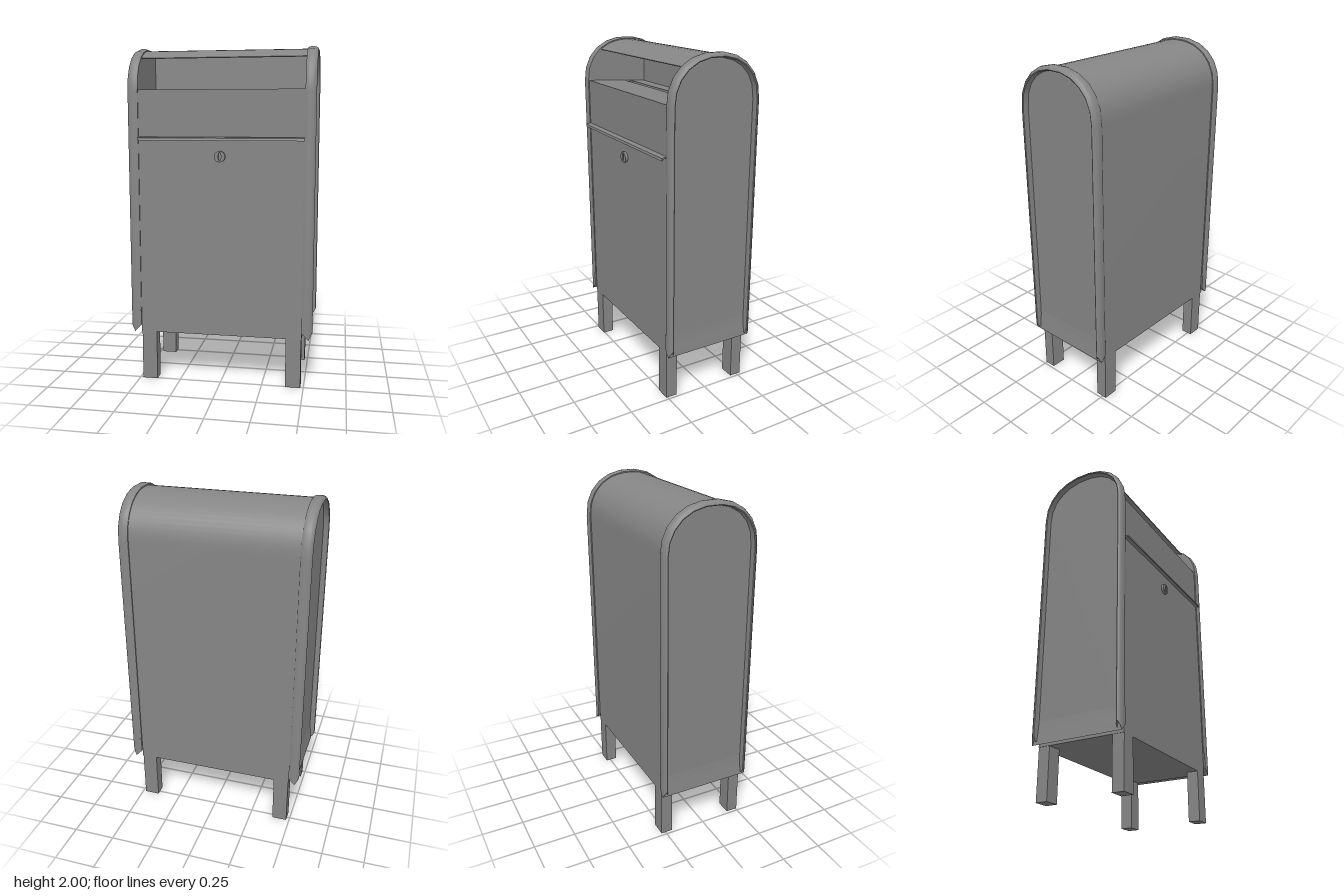
import * as THREE from 'three';
import { toCreasedNormals } from 'three/addons/utils/BufferGeometryUtils.js';

const ZC = -0.01;     // middle of the cabinet in depth
const SPRING = 1.74;  // height where the arched top begins
const BASE = 0.297;   // underside of the cabinet

// Points [z, y] along the arched top, from the front (t = 0) to the back (t = PI)
function arch(half, rise, t0 = 0, t1 = Math.PI, n = 11) {
  const points = [];
  const e = 2 / 2.2;
  for (let i = 0; i <= n; i++) {
    const t = t0 + (t1 - t0) * i / n;
    const c = Math.cos(t), s = Math.max(0, Math.sin(t));
    points.push([ZC + half * Math.sign(c) * Math.abs(c) ** e, SPRING + rise * s ** e]);
  }
  return points;
}

const shapeOf = (points) => new THREE.Shape(points.map(([a, b]) => new THREE.Vector2(a, b)));

// Extrude a [z, y] outline along x, centred on x
function extrudeX(points, width, x = 0) {
  const g = new THREE.ExtrudeGeometry(shapeOf(points), { depth: width, bevelEnabled: false });
  g.translate(0, 0, -width / 2).rotateY(-Math.PI / 2).translate(x, 0, 0);
  return toCreasedNormals(g, 0.5);
}

// Rounded rim swept up the front, over the arch and down the back
function rimGeometry(side) {
  const section = [ // x, inset from the outline
    [0.485, 0.03], [0.485, 0.007], [0.495, 0.002], [0.508, 0], [0.525, 0.001], [0.537, 0.006],
    [0.545, 0.013], [0.548, 0.02], [0.545, 0.025], [0.535, 0.027], [0.514, 0.03],
  ];
  const columns = section.map(([x, inset]) => {
    const bottom = BASE + Math.abs(x - 0.525) * (x > 0.525 ? 2 : 1.05);
    const half = 0.28 - inset;
    return [[ZC + half, bottom], ...arch(half, 0.2625 - inset), [ZC - half, bottom]]
      .map(([z, y]) => [side * x, y, z]);
  });
  const rows = columns[0].length, cols = columns.length;
  const positions = [], index = [];
  const face = (a, b, c) => index.push(...(side > 0 ? [a, b, c] : [a, c, b]));
  for (let i = 0; i < rows; i++) {
    for (let j = 0; j < cols; j++) {
      positions.push(...columns[j][i]);
      if (i === rows - 1 || j === cols - 1) continue;
      const a = i * cols + j, b = a + 1, c = a + cols, d = c + 1;
      face(a, b, d);
      face(a, d, c);
    }
  }
  // Close both lower ends
  const last = (rows - 1) * cols;
  for (let j = 1; j < cols - 1; j++) {
    face(0, j + 1, j);
    face(last, last + j, last + j + 1);
  }
  const g = new THREE.BufferGeometry();
  g.setAttribute('position', new THREE.Float32BufferAttribute(positions, 3));
  g.setIndex(index);
  return toCreasedNormals(g, 0.8);
}

export function createModel() {
  const model = new THREE.Group();
  const material = new THREE.MeshStandardMaterial({ color: 0x858585, side: THREE.DoubleSide });
  const add = (name, geometry, parent = model) => {
    const mesh = new THREE.Mesh(geometry, material);
    mesh.name = name;
    parent.add(mesh);
  };

  // Cabinet with the letter opening, slotted shelf and thin curved roof
  const front = 0.257, back = -0.276;
  const openFront = 0.868, openBack = 2.02;
  add('cabinet', extrudeX([
    [front, BASE], [front, 1.748],
    [0.01, 1.731], [0.01, 1.6], [-0.03, 1.6], [-0.03, 1.728], [-0.13, 1.72],
    ...arch(0.262, 0.242, openBack, openFront, 12),
    ...arch(0.266, 0.248, openFront, Math.PI, 20),
    [back, BASE],
  ], 0.97));

  // Side caps, legs and slot ends, mirrored
  for (const side of [1, -1]) {
    const cap = new THREE.Group();
    cap.name = side > 0 ? 'leftCap' : 'rightCap';
    model.add(cap);
    add('rim', rimGeometry(side), cap);

    // Recessed panel
    add('sidePanel', extrudeX([
      [ZC + 0.251, 0.42], ...arch(0.251, 0.2335), [ZC - 0.251, 0.42],
    ], 0.029, side * 0.4995), cap);

    // Cove that flares out to a drip edge below the panel
    const cove = [
      [0.485, 0.339], [0.525, BASE], [0.5225, 0.33], [0.519, 0.36],
      [0.516, 0.395], [0.514, 0.43], [0.485, 0.43],
    ].map(([x, y]) => [side * x, y]);
    const coveGeometry = new THREE.ExtrudeGeometry(shapeOf(cove), { depth: 0.556, bevelEnabled: false });
    coveGeometry.translate(0, 0, ZC - 0.278);
    add('dripEdge', toCreasedNormals(coveGeometry, 0.5), cap);

    add('slotEnd', new THREE.BoxGeometry(0.04, 0.129, 0.04).translate(side * 0.465, 1.6645, ZC));

    // Legs flush with the front and back of the cabinet
    for (const z of [front - 0.035, back + 0.035]) {
      add(z > 0 ? 'frontLeg' : 'backLeg',
        new THREE.BoxGeometry(0.09, BASE, 0.07).translate(side * 0.437, BASE / 2, z));
    }
  }

  // Hooked rain lip above the door
  add('doorLip', extrudeX([
    [front - 0.005, 1.478], [0.277, 1.477], [0.286, 1.472], [0.289, 1.458],
    [0.284, 1.458], [0.281, 1.466], [0.275, 1.469], [front - 0.005, 1.469],
  ], 0.968));

  // Lock with a narrow keyhole
  const lockShape = new THREE.Shape().absarc(0, 0, 0.032, 0, Math.PI * 2);
  lockShape.holes.push(new THREE.Path().absellipse(0, 0, 0.009, 0.024, 0, Math.PI * 2, true));
  const lock = new THREE.ExtrudeGeometry(lockShape, { depth: 0.016, bevelEnabled: false, curveSegments: 24 });
  add('lock', toCreasedNormals(lock.translate(0, 1.366, front), 0.5));

  return model;
}
